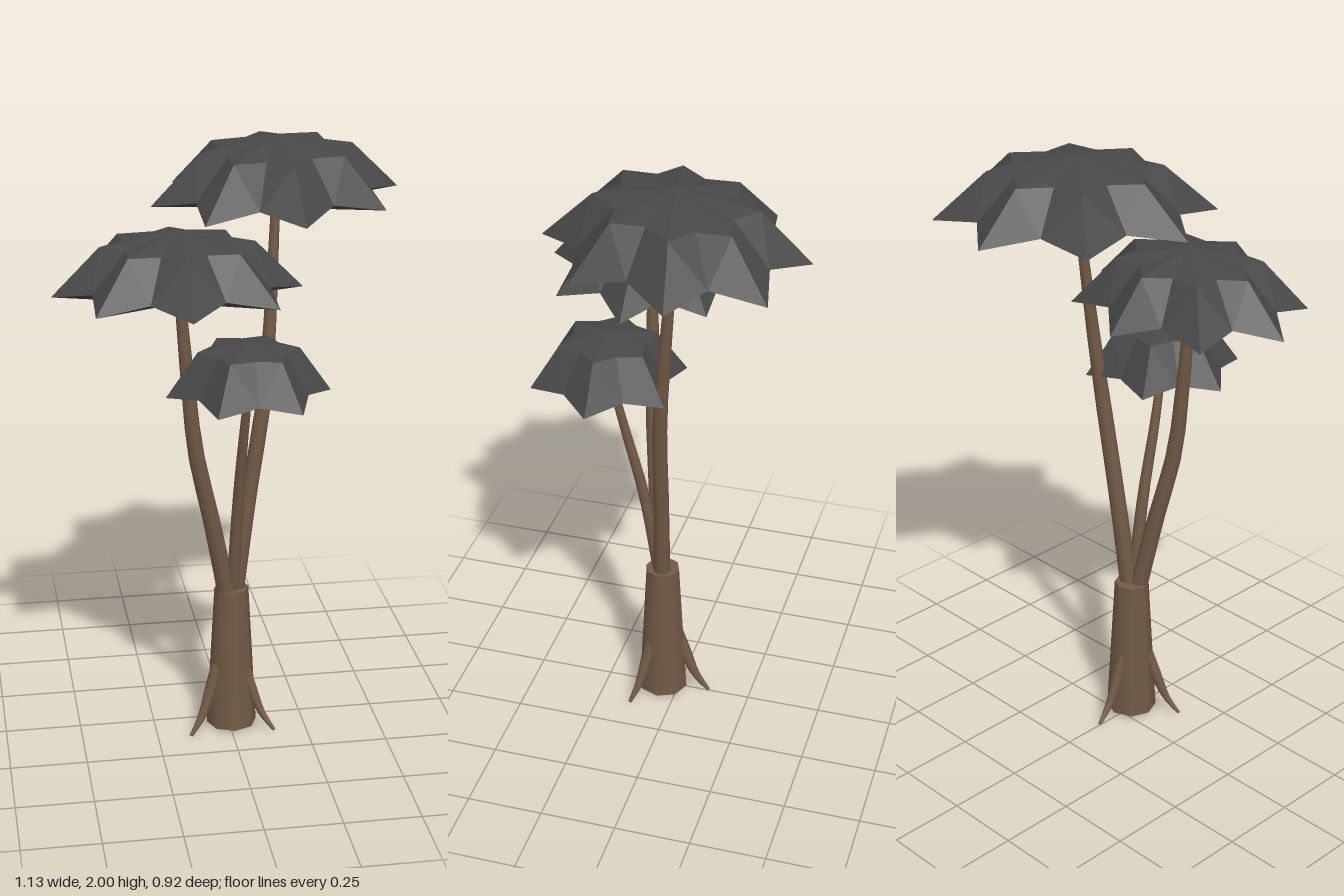
import * as THREE from 'three';

const bark = new THREE.MeshStandardMaterial({ color: 0x735a45 });
bark.name = 'bark brown';
const foliage = new THREE.MeshStandardMaterial({ color: 0x484848, flatShading: true });
foliage.name = 'foliage charcoal';

// Tube along points whose radius follows a list of evenly spaced values
function taperedTube(name, points, radii, segments = 10, sides = 8) {
  const curve = new THREE.CatmullRomCurve3(points.map((p) => new THREE.Vector3(...p)));
  const geo = new THREE.TubeGeometry(curve, segments, 1, sides);
  const pos = geo.attributes.position;
  const v = new THREE.Vector3();
  for (let i = 0; i <= segments; i++) {
    const t = (i / segments) * (radii.length - 1);
    const k = Math.min(Math.floor(t), radii.length - 2);
    const r = THREE.MathUtils.lerp(radii[k], radii[k + 1], t - k);
    const centre = curve.getPointAt(i / segments);
    for (let j = 0; j <= sides; j++) {
      const n = i * (sides + 1) + j;
      v.fromBufferAttribute(pos, n).sub(centre).multiplyScalar(r).add(centre);
      pos.setXYZ(n, v.x, v.y, v.z);
    }
  }
  const mesh = new THREE.Mesh(geo, bark);
  mesh.name = name;
  return mesh;
}

// Star-shaped umbrella: apex, shoulder ring, drooping rim and shallow pointed underside
function canopy(name, { at, tips, long, short, turn, top, shoulder, tip, valley, under }) {
  const count = tips * 2;
  const ring = (scale, tipY, valleyY) => Array.from({ length: count }, (_, i) => {
    const a = (i / count) * Math.PI * 2;
    const k = scale * (i % 2 ? 0.755 : 1);
    return [Math.cos(a) * long * k, i % 2 ? valleyY : tipY, Math.sin(a) * short * k];
  });
  const upper = ring(0.615, shoulder, shoulder);
  const rim = ring(1, tip, valley);
  const out = [];
  for (let i = 0; i < count; i++) {
    const j = (i + 1) % count;
    out.push([0, top, 0], upper[j], upper[i]);
    // split each drooping panel consistently from its shoulder valley
    if (i % 2) out.push(upper[i], upper[j], rim[i], upper[j], rim[j], rim[i]);
    else out.push(upper[i], upper[j], rim[j], upper[i], rim[j], rim[i]);
    out.push([0, under, 0], rim[i], rim[j]);
  }
  const geo = new THREE.BufferGeometry();
  geo.setAttribute('position', new THREE.Float32BufferAttribute(out.flat(), 3));
  geo.computeVertexNormals();
  const mesh = new THREE.Mesh(geo, foliage);
  mesh.name = name;
  mesh.position.set(at[0], 0, at[1]);
  mesh.rotation.y = turn;
  return mesh;
}

export function createModel() {
  const tree = new THREE.Group();
  tree.name = 'tree';

  // Trunk
  const trunk = new THREE.Mesh(new THREE.CylinderGeometry(0.057, 0.084, 0.495, 8), bark);
  trunk.name = 'trunk';
  trunk.position.set(0.008, 0.2625, 0.054);
  tree.add(trunk);

  // Three roots splayed evenly around the trunk
  for (let i = 0; i < 3; i++) {
    const a = -Math.PI / 2 + (i * Math.PI * 2) / 3;
    const p = (r, y) => [Math.cos(a) * r, y, 0.055 + Math.sin(a) * r];
    tree.add(taperedTube('root', [p(0.05, 0.24), p(0.085, 0.14), p(0.118, 0.065), p(0.163, 0.008)],
      [0.02, 0.021, 0.015, 0.006], 8, 6));
  }

  // Branches
  tree.add(
    taperedTube('tallBranch',
      [[0.015, 0.45, 0.055], [0.066, 0.82, 0.042], [0.117, 1.15, 0.03], [0.139, 1.4, 0.008], [0.162, 1.8, -0.03]],
      [0.03, 0.027, 0.025, 0.02, 0.014]),
    taperedTube('middleBranch',
      [[-0.002, 0.45, 0.065], [-0.062, 0.76, 0.095], [-0.118, 1.02, 0.122], [-0.142, 1.25, 0.13], [-0.167, 1.55, 0.135]],
      [0.03, 0.028, 0.026, 0.022, 0.017]),
    taperedTube('lowBranch',
      [[0.01, 0.45, 0.06], [0.018, 0.8, 0.115], [0.025, 1.05, 0.175], [0.035, 1.25, 0.22]],
      [0.022, 0.02, 0.017, 0.013]),
  );

  // Canopies
  tree.add(
    canopy('tallCanopy', {
      at: [0.165, -0.037], tips: 8, long: 0.445, short: 0.382, turn: 0.9,
      top: 2, shoulder: 1.955, tip: 1.803, valley: 1.832, under: 1.765,
    }),
    canopy('middleCanopy', {
      at: [-0.17, 0.125], tips: 8, long: 0.392, short: 0.342, turn: 0,
      top: 1.75, shoulder: 1.705, tip: 1.553, valley: 1.583, under: 1.515,
    }),
    canopy('lowCanopy', {
      at: [0.036, 0.221], tips: 6, long: 0.26, short: 0.256, turn: 0,
      top: 1.415, shoulder: 1.385, tip: 1.242, valley: 1.262, under: 1.215,
    }),
  );
  return tree;
}
